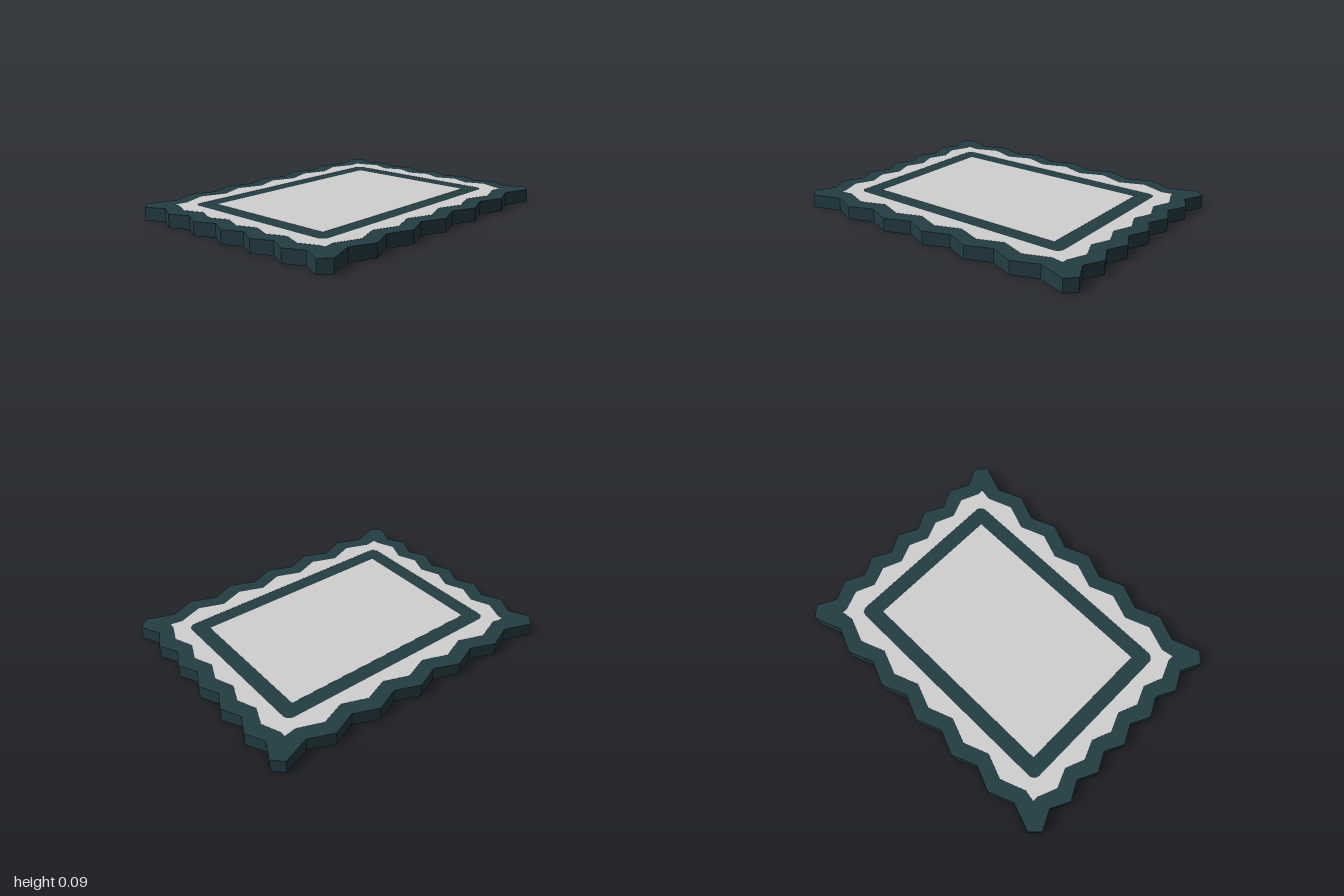
import * as THREE from 'three';

const HEIGHT = 0.085, PLATE = 0.001;

// Wavy outline: one quarter is described, the rest is mirrored
function scallop(xPeak, xValley, zPeak, zValley, corner) {
  const q = [];
  for (let i = 0; i <= 5; i++) q.push([0.118 * i, i % 2 ? -zValley : -zPeak]);
  q.push(...corner);
  for (let j = 5; j >= 0; j--) q.push([j % 2 ? xValley : xPeak, -0.1535 * j]);
  const half = q.concat(q.slice(0, -1).reverse().map(([x, z]) => [x, -z]));
  const other = half.slice(1, -1).map(([x, z]) => [-x, -z]);
  return polygon(half.concat(other));
}

function polygon(points) {
  return new THREE.Shape(points.map(([x, z]) => new THREE.Vector2(x, z)));
}

function roundedRect(w, d, r) {
  const s = new THREE.Path(), H = Math.PI / 2;
  s.absarc(w - r, d - r, r, 0, H);
  s.absarc(-w + r, d - r, r, H, 2 * H);
  s.absarc(-w + r, -d + r, r, 2 * H, 3 * H);
  s.absarc(w - r, -d + r, r, 3 * H, 4 * H);
  s.closePath();
  return s;
}

export function createModel() {
  const group = new THREE.Group();
  const material = (name, color) => {
    const m = new THREE.MeshStandardMaterial({ color });
    m.name = name;
    return m;
  };
  const dark = material('dark slate', 0x243d44);
  const paper = material('pale grey', 0xd0d0d0);
  const teal = material('teal', 0x4ac8c8);
  const orange = material('orange brown', 0xca803e);
  const yellow = material('yellow', 0xcfcf0c);

  // Flat slab: shape drawn in x and z, extruded downwards from yTop
  const slab = (name, shape, mat, yTop, thickness) => {
    const g = new THREE.ExtrudeGeometry(shape, { depth: thickness, bevelEnabled: false, curveSegments: 10 });
    g.rotateX(Math.PI / 2).translate(0, yTop, 0);
    const mesh = new THREE.Mesh(g, mat);
    mesh.name = name;
    group.add(mesh);
  };

  // Body with scalloped edge
  const outline = scallop(0.773, 0.71, 1, 0.94, [[0.712, -1], [0.773, -0.94]]);
  slab('body', outline, dark, HEIGHT - PLATE, HEIGHT - 2 * PLATE);

  // Paper margins on both faces, around the dark picture frame
  const margin = scallop(0.67, 0.612, 0.89, 0.842, [[0.625, -0.842]]);
  margin.holes.push(roundedRect(0.537, 0.765, 0.045));
  slab('upperMargin', margin, paper, HEIGHT, PLATE);
  slab('lowerMargin', margin, paper, PLATE, PLATE);

  // Plain panel on the upper face
  const W = 0.44, D = 0.665;
  slab('upperPanel', polygon([[-W, -D], [W, -D], [W, D], [-W, D]]), paper, HEIGHT, PLATE);

  // Sky on the underside, bounded by the sun's ring and the mountain outlines
  const sky = new THREE.Shape();
  sky.moveTo(W, -D);
  sky.lineTo(W, 0.125);
  sky.absarc(0.195, -0.03, 0.048, -0.8, -2.44, true);
  sky.lineTo(-0.05, 0.19);
  sky.absarc(-0.175, 0.12, 0.048, -0.7, -2.39, true);
  sky.lineTo(-W, 0.325);
  sky.absarc(-W, -D, 0.4, Math.PI / 2, 0, true);
  slab('sky', sky, teal, PLATE, PLATE);

  // Quarter sun in the corner
  const sun = new THREE.Shape();
  sun.moveTo(-W, -D);
  sun.absarc(-W, -D, 0.3, 0, Math.PI / 2);
  slab('sun', sun, yellow, PLATE, PLATE);

  // Two mountains, parted by a round-ended notch
  const land = new THREE.Shape();
  land.moveTo(W, D);
  land.lineTo(W, 0.28);
  land.lineTo(0.195, 0.042);
  land.lineTo(0.01, 0.264);
  land.absarc(0.07, 0.41, 0.048, -0.7, Math.PI - 0.7, false);
  land.lineTo(-0.175, 0.194);
  land.lineTo(-W, 0.48);
  land.lineTo(-W, D);
  slab('mountains', land, orange, PLATE, PLATE);

  return group;
}
